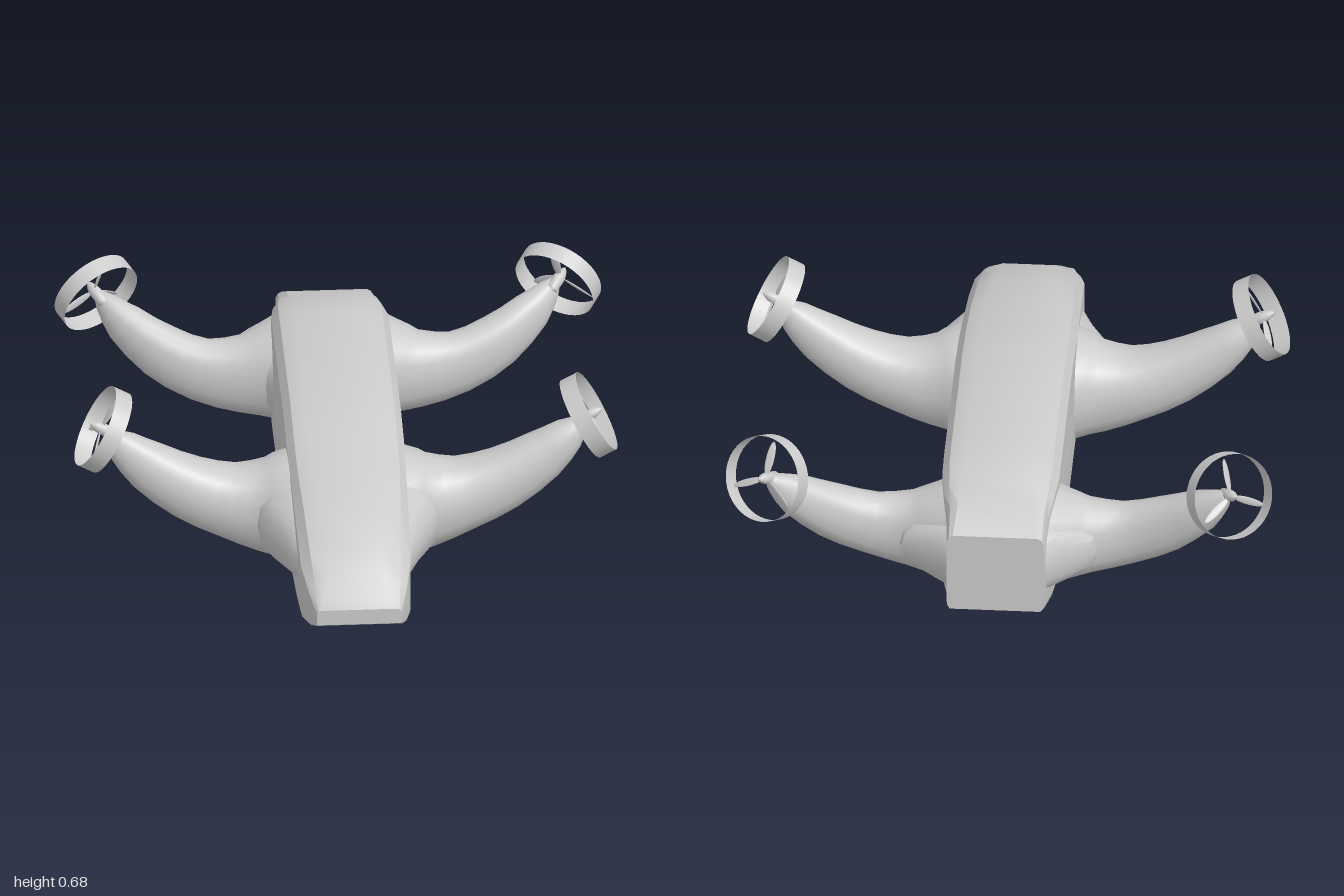
import * as THREE from 'three';
import { toCreasedNormals } from 'three/addons/utils/BufferGeometryUtils.js';

const grey = new THREE.MeshStandardMaterial({ color: 0xcccccc });
const greyThin = new THREE.MeshStandardMaterial({ color: 0xcccccc, side: THREE.DoubleSide });

function addMesh(parent, name, geometry, material = grey) {
  const mesh = new THREE.Mesh(geometry, material);
  mesh.name = name;
  parent.add(mesh);
  return mesh;
}

// Skin a list of equal-length rings (counter-clockwise seen from the far end) and cap both ends
function loft(rings, crease = 0.6) {
  const n = rings[0].length, pos = [], idx = [];
  rings.forEach(r => r.forEach(p => pos.push(p.x, p.y, p.z)));
  for (let i = 0; i < rings.length - 1; i++) {
    for (let j = 0; j < n; j++) {
      const a = i * n + j, b = i * n + (j + 1) % n;
      idx.push(a, b, a + n, b, b + n, a + n);
    }
  }
  [0, rings.length - 1].forEach((i, end) => {
    const c = rings[i].reduce((s, p) => s.add(p), new THREE.Vector3()).divideScalar(n);
    const k = pos.length / 3;
    pos.push(c.x, c.y, c.z);
    for (let j = 0; j < n; j++) {
      const a = i * n + j, b = i * n + (j + 1) % n;
      if (end) idx.push(k, a, b); else idx.push(k, b, a);
    }
  });
  const g = new THREE.BufferGeometry();
  g.setAttribute('position', new THREE.Float32BufferAttribute(pos, 3));
  g.setIndex(idx);
  return toCreasedNormals(g, crease);
}

// Slightly squared ellipse in the plane of u and v
function oval(centre, u, v, ru, rv, sides = 16, power = 0.85) {
  const soft = t => Math.sign(t) * Math.pow(Math.abs(t), power);
  return Array.from({ length: sides }, (_, j) => {
    const a = (j / sides) * Math.PI * 2;
    return centre.clone().addScaledVector(u, ru * soft(Math.cos(a))).addScaledVector(v, rv * soft(Math.sin(a)));
  });
}

// Fuselage stations: z, bottom, top, bottom half width, side half width, top half width, shoulder height
const hull = [
  [-1, .09, .40, .16, .172, .15, .375],
  [-.95, .06, .425, .16, .175, .145, .39],
  [-.88, .03, .46, .165, .18, .14, .41],
  [-.8, .012, .49, .17, .195, .135, .44],
  [-.7, .01, .52, .18, .207, .13, .46],
  [-.6, .01, .53, .185, .208, .13, .47],
  [0, .01, .53, .185, .208, .13, .47],
  [.2, .01, .495, .185, .208, .13, .44],
  [.4, .015, .46, .185, .204, .13, .4],
  [.6, .035, .42, .185, .2, .11, .35],
  [.8, .07, .35, .18, .194, .09, .28],
  [.9, .1, .285, .168, .175, .1, .24],
  [.97, .132, .23, .153, .157, .125, .205],
  [1, .15, .208, .147, .15, .138, .195],
];
function hullRing([z, bottom, top, wb, w, wt, shoulder]) {
  const low = bottom + (shoulder - bottom) * 0.12;
  const half = [
    [wb, bottom],
    [wb + (w - wb) * 0.7, bottom + (low - bottom) * 0.35],
    [w, low],
    [w, (low + shoulder) / 2],
    [w, shoulder],
    [wt + (w - wt) * 0.68, shoulder + (top - shoulder) * 0.62],
    [wt, top],
  ];
  return [...half.map(([x, y]) => new THREE.Vector3(x, y, z)),
    ...half.reverse().map(([x, y]) => new THREE.Vector3(-x, y, z))];
}

// Bulges that blend the arms into the fuselage: z, half width, centre height, half height
const frontBulge = [[.78, .17, .2, .07], [.7, .195, .21, .11], [.55, .25, .215, .145],
  [.42, .315, .22, .17], [.34, .33, .225, .175], [.2, .29, .23, .18], [.03, .19, .23, .17]];
const rearBulge = [[-.96, .168, .24, .13], [-.9, .24, .24, .15], [-.83, .345, .235, .13],
  [-.77, .36, .235, .13], [-.65, .29, .24, .15], [-.53, .19, .24, .17]];
function bulge(rows) {
  const u = new THREE.Vector3(1, 0, 0), v = new THREE.Vector3(0, 1, 0);
  return loft([...rows].sort((a, b) => a[0] - b[0])
    .map(([z, w, y, h]) => oval(new THREE.Vector3(0, y, z), u, v, w, h, 20, 0.8)));
}

// Arm stations: x, y, z, half depth, half height
const arms = {
  front: {
    rows: [[.12, .23, .25, .23, .21], [.22, .23, .245, .185, .19], [.3, .23, .24, .145, .165],
      [.42, .25, .235, .125, .13], [.56, .305, .235, .105, .112], [.7, .395, .235, .08, .09],
      [.79, .475, .235, .055, .06], [.84, .53, .235, .02, .02]],
    centre: [.858, .545, .235], axis: [.88, .48, 0],
  },
  rear: {
    rows: [[.12, .25, -.73, .2, .2], [.22, .24, -.72, .15, .17], [.32, .235, -.71, .105, .14],
      [.46, .255, -.715, .08, .115], [.6, .32, -.745, .075, .1], [.72, .41, -.79, .06, .075],
      [.785, .475, -.823, .035, .04], [.808, .5, -.838, .018, .018]],
    centre: [.818, .507, -.838], axis: [.5, .38, -.78],
  },
};
function armGeometry(rows, side) {
  const path = new THREE.CatmullRomCurve3(rows.map(r => new THREE.Vector3(side * r[0], r[1], r[2])));
  const size = new THREE.CatmullRomCurve3(rows.map(r => new THREE.Vector3(r[3], r[4], 0)));
  const up = new THREE.Vector3(0, 1, 0), rings = [], steps = 14;
  for (let i = 0; i <= steps; i++) {
    const t = path.getTangent(i / steps), s = size.getPoint(i / steps);
    const u = up.clone().cross(t).normalize(), v = t.clone().cross(u);
    rings.push(oval(path.getPoint(i / steps), u, v, s.x, s.y));
  }
  return loft(rings);
}

// Ducted three-blade rotor whose axis is local y
function makeRotor(centre, axis) {
  const rotor = new THREE.Group();
  addMesh(rotor, 'ductRing', new THREE.CylinderGeometry(.153, .153, .065, 40, 1, true), greyThin);
  const hub = [[0, -.06], [.02, -.05], [.022, 0], [.018, .025], [.009, .045], [0, .055]];
  addMesh(rotor, 'hub', new THREE.LatheGeometry(hub.map(p => new THREE.Vector2(...p)), 16));
  const upAngle = Math.atan2(axis.z, -axis.x);
  for (let k = 0; k < 3; k++) {
    const blade = new THREE.SphereGeometry(1, 14, 8).scale(.064, .004, .015);
    blade.rotateX(.45).translate(.074, .01, 0).rotateY(upAngle + k * Math.PI * 2 / 3);
    addMesh(rotor, 'blade', blade);
  }
  rotor.position.copy(centre);
  rotor.quaternion.setFromUnitVectors(new THREE.Vector3(0, 1, 0), axis);
  return rotor;
}

export function createModel() {
  const model = new THREE.Group();
  model.name = 'quadRotorAircraft';
  addMesh(model, 'fuselage', loft(hull.map(hullRing), 0.5));
  addMesh(model, 'frontShoulders', bulge(frontBulge));
  addMesh(model, 'rearShoulders', bulge(rearBulge));

  // Four arms with rotors, mirrored left and right
  for (const [end, { rows, centre, axis }] of Object.entries(arms)) {
    for (const side of [1, -1]) {
      const label = end + (side > 0 ? 'Left' : 'Right');
      addMesh(model, label + 'Arm', armGeometry(rows, side));
      const rotor = makeRotor(new THREE.Vector3(side * centre[0], centre[1], centre[2]),
        new THREE.Vector3(side * axis[0], axis[1], axis[2]).normalize());
      rotor.name = label + 'Rotor';
      model.add(rotor);
    }
  }
  return model;
}
